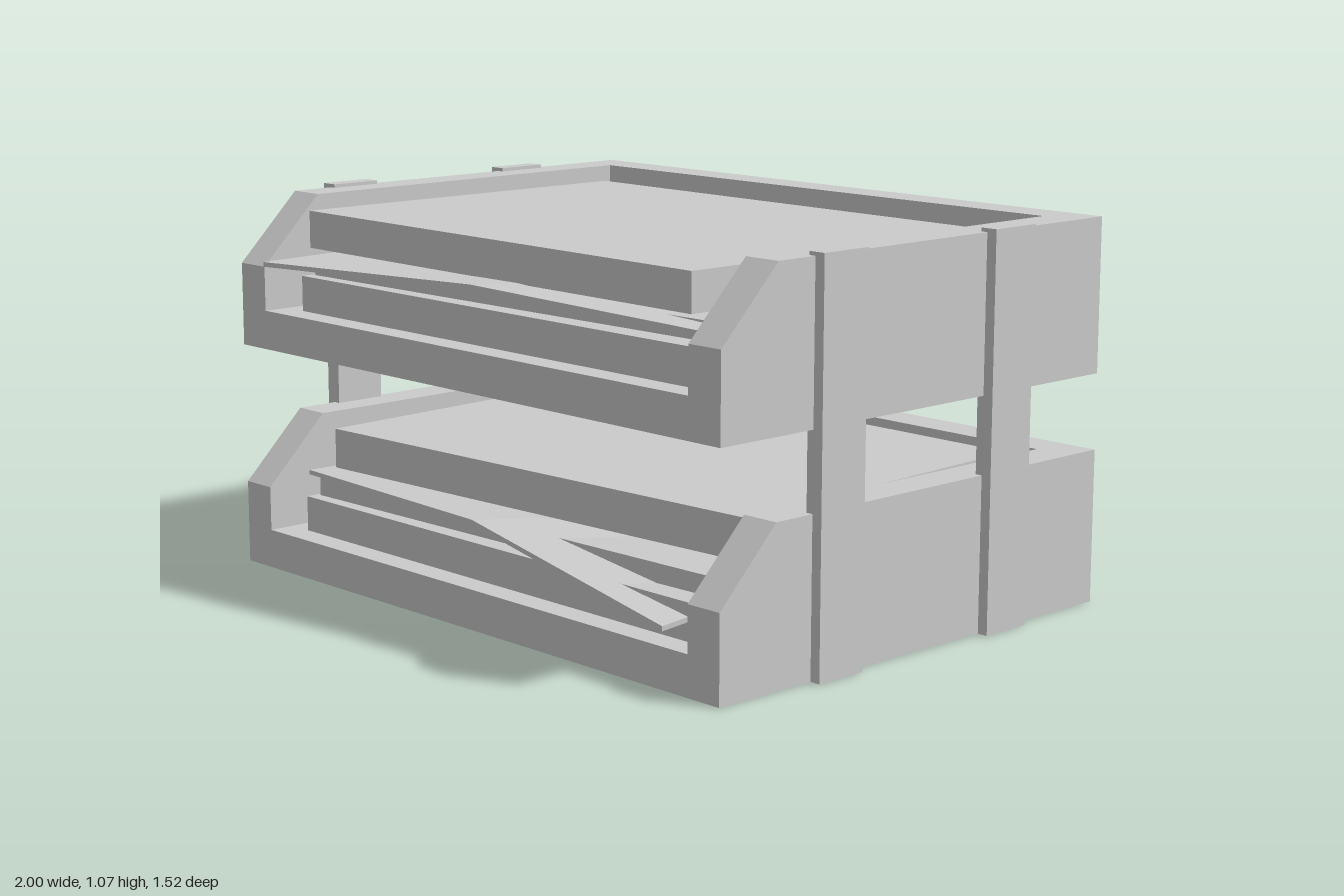
import * as THREE from 'three';

const material = new THREE.MeshStandardMaterial({ color: 0xcccccc, flatShading: true });
const PAPER_W = 1.57, PAPER_D = 1.105;

function add(parent, name, geometry, x = 0, y = 0, z = 0, turn = 0) {
  const mesh = new THREE.Mesh(geometry, material);
  mesh.name = name;
  mesh.position.set(x, y, z);
  mesh.rotation.y = turn;
  parent.add(mesh);
  return mesh;
}

// Box given by its limits on each axis
function block(parent, name, x0, x1, y0, y1, z0, z1) {
  return add(parent, name, new THREE.BoxGeometry(x1 - x0, y1 - y0, z1 - z0),
    (x0 + x1) / 2, (y0 + y1) / 2, (z0 + z1) / 2);
}

// Open-fronted tray with bevelled side walls
function makeTray(name) {
  const tray = new THREE.Group();
  tray.name = name;
  block(tray, 'trayFloor', -0.97, 0.97, 0, 0.11, -0.76, 0.66);
  block(tray, 'trayBack', -0.86, 0.86, 0.11, 0.425, -0.76, -0.65);
  const profile = new THREE.Shape([[-0.76, 0.11], [0.66, 0.11], [0.66, 0.235], [0.47, 0.425], [-0.76, 0.425]]
    .map(([z, y]) => new THREE.Vector2(z, y)));
  const wall = new THREE.ExtrudeGeometry(profile, { depth: 0.11, bevelEnabled: false });
  add(tray, 'leftWall', wall, 0.97, 0, 0, -Math.PI / 2);
  add(tray, 'rightWall', wall, -0.86, 0, 0, -Math.PI / 2);
  return tray;
}

// Pile of paper, turned a little out of line
function paperStack(tray, name, y0, y1, x, z, turn) {
  add(tray, name, new THREE.BoxGeometry(PAPER_W, y1 - y0, PAPER_D), x, (y0 + y1) / 2, z, turn);
}

// Thin creased sheet; lifts = heights of front left-hand, front middle, front right-hand, back right-hand, back left-hand corners
function creasedSheet(lifts, thickness) {
  const w = PAPER_W / 2, d = PAPER_D / 2;
  const outline = [[-w, d], [0, d], [w, d], [w, -d], [-w, -d]];
  const positions = [];
  for (const offset of [0, thickness])
    outline.forEach(([x, z], i) => positions.push(x, lifts[i] + offset, z));
  const index = [];
  for (const [a, b, c] of [[1, 2, 3], [1, 3, 4], [1, 4, 0]])
    index.push(a + 5, b + 5, c + 5, a, c, b);
  for (let i = 0; i < 5; i++) {
    const j = (i + 1) % 5;
    index.push(i, j, j + 5, i, j + 5, i + 5);
  }
  const indexed = new THREE.BufferGeometry();
  indexed.setAttribute('position', new THREE.Float32BufferAttribute(positions, 3));
  indexed.setIndex(index);
  const geometry = indexed.toNonIndexed();
  geometry.computeVertexNormals();
  return geometry;
}

export function createModel() {
  const model = new THREE.Group();
  model.name = 'paperTrays';

  const lower = makeTray('lowerTray');
  const upper = makeTray('upperTray');
  upper.position.y = 0.635;
  model.add(lower, upper);

  // Two straight piles in the bottom of each tray
  for (const tray of [lower, upper]) {
    paperStack(tray, 'bottomStack', 0.11, 0.21, 0, 0.033, 0);
    paperStack(tray, 'middleStack', 0.21, 0.262, 0, -0.023, 0.025);
  }

  // Loose sheets poking out of the front
  add(lower, 'foldedSheet', creasedSheet([0, 0, -0.12, 0, 0], 0.013), 0.03, 0.272, 0.07, -0.06);
  add(upper, 'foldedSheet', creasedSheet([-0.007, 0.008, -0.03, 0, -0.012], 0.013), -0.005, 0.267, 0.12, 0.117);

  // Top piles
  paperStack(lower, 'topStack', 0.287, 0.4, 0, -0.09, 0.055);
  paperStack(upper, 'topStack', 0.285, 0.39, -0.002, 0.006, -0.0135);

  // Posts joining the trays
  for (const side of [-1, 1])
    for (const z of [-0.367, 0.267])
      add(model, side > 0 ? 'leftPost' : 'rightPost', new THREE.BoxGeometry(0.05, 1.07, 0.155), side * 0.975, 0.535, z);

  return model;
}
